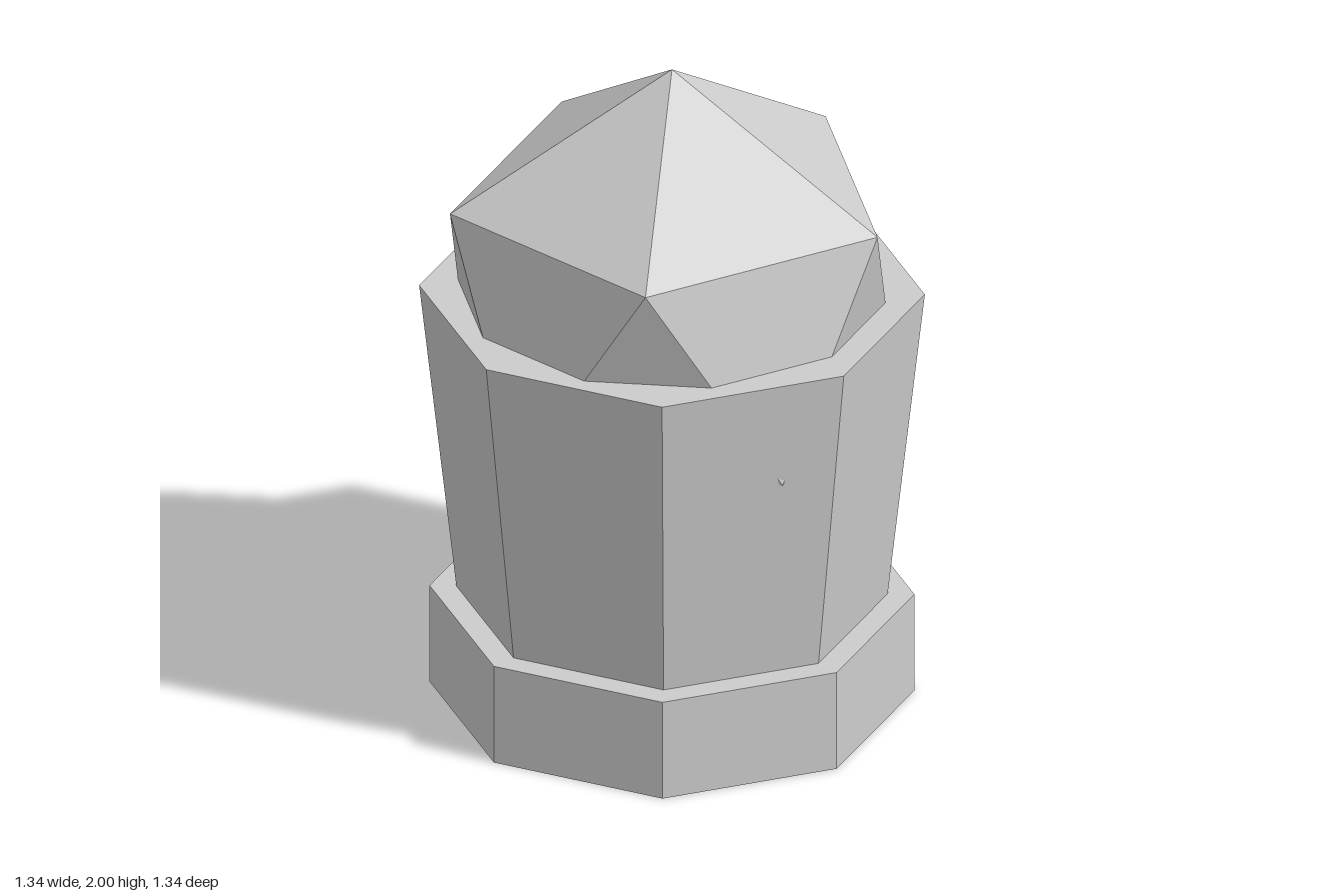
import * as THREE from 'three';

const stone = new THREE.MeshStandardMaterial({ color: 0xcccccc, flatShading: true });
stone.name = 'grey stone';

// Eight-sided block with flat faces towards the axes
function octagonBlock(name, topRadius, bottomRadius, y0, y1) {
  const geometry = new THREE.CylinderGeometry(topRadius, bottomRadius, y1 - y0, 8);
  geometry.rotateY(Math.PI / 8);
  const mesh = new THREE.Mesh(geometry, stone);
  mesh.name = name;
  mesh.position.y = (y0 + y1) / 2;
  return mesh;
}

export function createModel() {
  const group = new THREE.Group();
  group.name = 'gemTower';

  // Plinth and body that widens upwards
  group.add(octagonBlock('base', 0.697, 0.697, 0, 0.312));
  group.add(octagonBlock('body', 0.727, 0.62, 0.312, 1.285));

  // Icosahedron standing on a corner, sunk into the body;
  // three of its lower corners just break through the walls
  const radius = 0.727;
  const gem = new THREE.IcosahedronGeometry(radius, 0);
  gem.rotateZ(-Math.atan(2 / (1 + Math.sqrt(5))));
  const top = new THREE.Mesh(gem, stone);
  top.name = 'gemTop';
  top.position.y = 2 - radius;
  group.add(top);

  return group;
}
